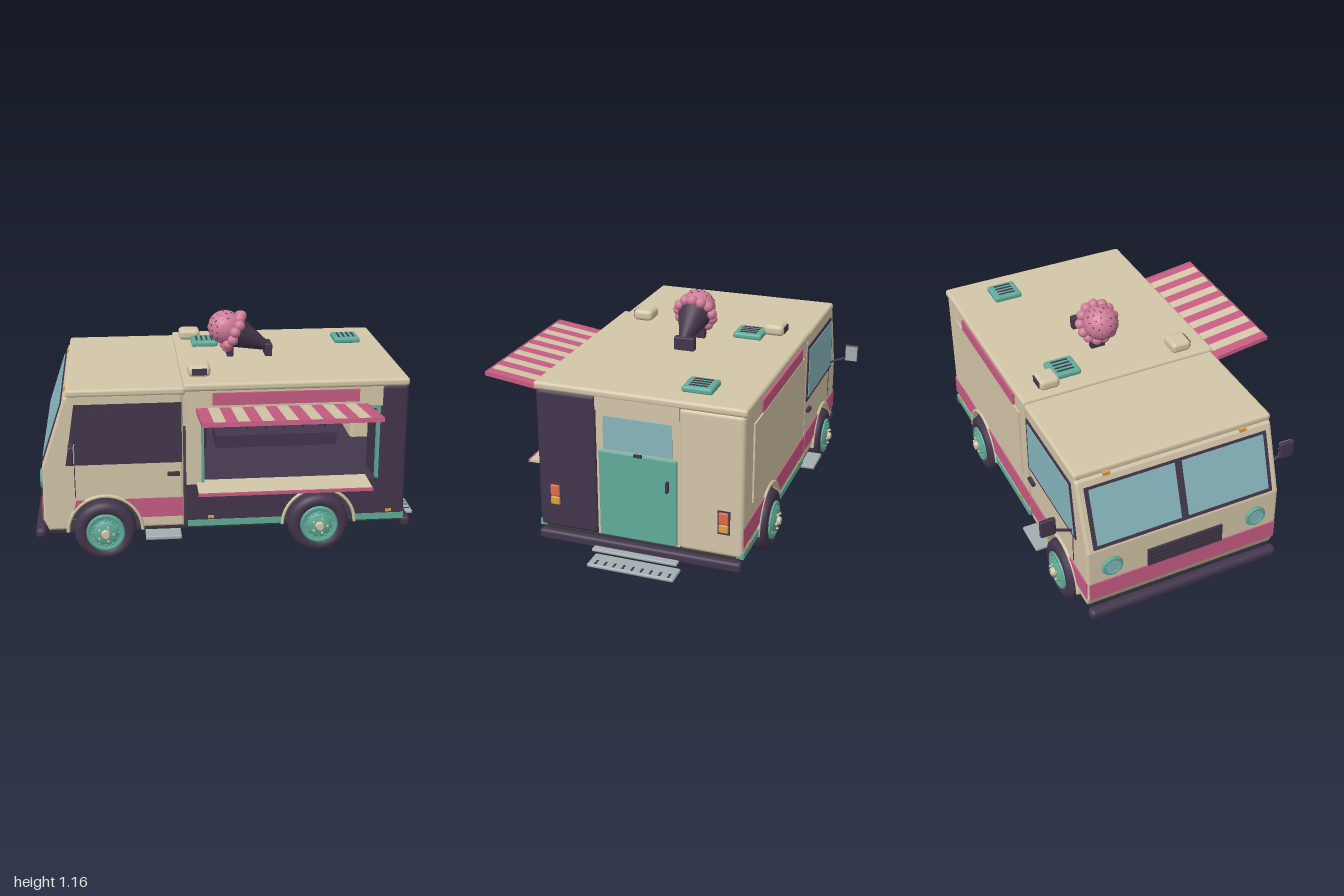
import * as THREE from 'three';
import { RoundedBoxGeometry } from 'three/addons/geometries/RoundedBoxGeometry.js';

const mat = (name, color) => Object.assign(new THREE.MeshStandardMaterial({ color }), { name });

export function createModel() {
  const cream = mat('cream paint', 0xd3c6a8), plum = mat('dark plum', 0x43364c), pink = mat('pink paint', 0xc75c82);
  const teal = mat('teal paint', 0x60ac9a), glass = mat('blue glass', 0x88b6be), grey = mat('grey metal', 0xa3adb0);
  const red = mat('red lamp', 0xdd6c4c), amber = mat('amber lamp', 0xdfa044);
  const scoopPink = mat('ice cream pink', 0xcf7d98), under = mat('underbody', 0x39363c);
  const truck = new THREE.Group();
  truck.name = 'iceCreamTruck';
  const LEFT = 0.40, RIGHT = -0.62, MID = -0.11;
  const FRONT_AXLE = -0.65, REAR_AXLE = 0.43, AXLE_Y = 0.155, ARCH = 0.183;

  function add(name, geo, m, x = 0, y = 0, z = 0, parent = truck) {
    const mesh = new THREE.Mesh(geo, m);
    mesh.name = name;
    mesh.position.set(x, y, z);
    parent.add(mesh);
    return mesh;
  }
  // box from its extents, with optional rounded edges
  function box(name, m, x0, x1, y0, y1, z0, z1, r = 0, parent = truck) {
    const w = x1 - x0, h = y1 - y0, d = z1 - z0;
    const geo = r ? new RoundedBoxGeometry(w, h, d, 2, r) : new THREE.BoxGeometry(w, h, d);
    return add(name, geo, m, (x0 + x1) / 2, (y0 + y1) / 2, (z0 + z1) / 2, parent);
  }
  function extrude(name, m, shape, z0, z1, bevel = 0) {
    const geo = new THREE.ExtrudeGeometry(shape, {
      depth: z1 - z0 - 2 * bevel, curveSegments: 16, bevelEnabled: bevel > 0,
      bevelSize: bevel, bevelThickness: bevel, bevelOffset: -bevel, bevelSegments: 2 });
    return add(name, geo, m, 0, 0, z0 + bevel);
  }
  const polygon = pts => new THREE.Shape(pts.map(p => new THREE.Vector2(...p)));
  // points on a wheel arch between two heights, on the front (-1) or rear (1) half
  const arc = (cx, a0, a1, n = 14) => Array.from({ length: n + 1 }, (_, i) => {
    const a = a0 + (a1 - a0) * i / n;
    return [cx + ARCH * Math.cos(a), AXLE_Y + ARCH * Math.sin(a)];
  });
  // side panel with the wheel arch cut out of it
  function archPanel(name, m, x0, x1, y0, y1, cx, z0, z1) {
    const a0 = Math.asin((y0 - AXLE_Y) / ARCH), s = (y1 - AXLE_Y) / ARCH;
    if (s >= 1) {
      extrude(name, m, polygon([[x0, y0], ...arc(cx, Math.PI - a0, a0), [x1, y0], [x1, y1], [x0, y1]]), z0, z1);
      return;
    }
    const a1 = Math.asin(s);
    extrude(name, m, polygon([[x0, y0], ...arc(cx, Math.PI - a0, Math.PI - a1), [x0, y1]]), z0, z1);
    extrude(name, m, polygon([[x1, y0], [x1, y1], ...arc(cx, a1, a0)]), z0, z1);
  }
  // z range of a plate lying on one outer side
  const onSide = (s, t = 0.006) => s > 0 ? [LEFT, LEFT + t] : [RIGHT - t, RIGHT];

  // Cab
  extrude('cabBody', cream, polygon([[-0.255, 0.165], [-0.255, 0.88], [-0.80, 0.88], [-0.835, 0.85], [-0.95, 0.51],
    [-0.955, 0.22], [-0.93, 0.165], ...arc(FRONT_AXLE, Math.PI - 0.055, 0.055, 20)]), RIGHT, LEFT, 0.012);
  box('cabRoof', cream, -0.825, -0.24, 0.855, 0.895, RIGHT - 0.004, LEFT + 0.004, 0.015);
  const shield = new THREE.Group();
  shield.name = 'windshield';
  shield.position.set(-0.8925, 0.68, MID);
  shield.rotation.z = -Math.atan2(0.115, 0.34);
  truck.add(shield);
  box('windshieldFrame', plum, -0.006, 0.002, -0.165, 0.15, -0.475, 0.475, 0, shield);
  for (const s of [-1, 1]) {
    box('windshieldPane', glass, -0.01, -0.004, -0.145, 0.137, s * 0.237 - 0.218, s * 0.237 + 0.218, 0, shield);
    box('roofMarker', amber, -0.838, -0.815, 0.85, 0.868, MID + s * 0.355 - 0.018, MID + s * 0.355 + 0.018);
    const lamp = add('headlightRing', new THREE.TorusGeometry(0.045, 0.01, 8, 24), teal, -0.958, 0.40, MID + s * 0.385);
    lamp.rotation.y = Math.PI / 2;
    const lens = add('headlightLens', new THREE.CylinderGeometry(0.042, 0.042, 0.012, 24), glass, -0.957, 0.40, MID + s * 0.385);
    lens.rotation.z = Math.PI / 2;
  }
  box('grille', plum, -0.963, -0.945, 0.32, 0.42, MID - 0.2, MID + 0.2);
  for (let i = 0; i < 3; i++) box('grilleBar', under, -0.966, -0.962, 0.341 + i * 0.025, 0.35 + i * 0.025, MID - 0.18, MID + 0.18);
  box('noseStripe', pink, -0.96, -0.95, 0.222, 0.318, RIGHT + 0.008, LEFT - 0.008);

  for (const s of [1, -1]) {
    const [z0, z1] = onSide(s), face = s > 0 ? LEFT : RIGHT;
    // Cab sides
    const pane = i => polygon([[-0.835 + i, 0.51 + i], [-0.262 - i, 0.51 + i], [-0.262 - i, 0.82 - i], [-0.785 + i * 0.8, 0.82 - i]]);
    extrude('sideWindowFrame', plum, pane(0), z0, z1);
    extrude('sideWindowPane', s > 0 ? plum : glass, pane(0.018), ...onSide(s, 0.009));
    archPanel('cabStripe', pink, s > 0 ? -0.79 : -0.945, -0.257, 0.222, 0.322, FRONT_AXLE, z0, z1);
    box('cabDoorSeam', plum, -0.795, -0.791, 0.34, 0.51, ...onSide(s, 0.003));
    box('cabDoorHandle', plum, -0.335, -0.275, 0.442, 0.46, ...onSide(s, 0.018));
    box('cabStep', grey, -0.45, -0.27, 0.113, 0.133, ...(s > 0 ? [0.33, 0.45] : [-0.68, -0.55]), 0.006);
    // Mirrors
    const m0 = face + s * 0.09, m1 = face + s * 0.167;
    box('mirrorHousing', plum, -0.815, -0.79, 0.568, 0.662, Math.min(m0, m1), Math.max(m0, m1), 0.008);
    box('mirrorGlass', grey, -0.791, -0.786, 0.574, 0.656, Math.min(m0, m1) + 0.006, Math.max(m0, m1) - 0.006);
    add('mirrorArm', new THREE.TubeGeometry(new THREE.LineCurve3(new THREE.Vector3(-0.80, 0.54, face - s * 0.01),
      new THREE.Vector3(-0.80, 0.59, face + s * 0.11)), 1, 0.007, 8), plum);
    // Skirt and side markers
    archPanel('skirt', teal, -0.235, 0.868, 0.162, 0.195, REAR_AXLE, ...(s > 0 ? [0.37, 0.406] : [-0.626, -0.59]));
    for (const x of [-0.12, 0.79]) box('sideMarker', amber, x - 0.015, x + 0.015, 0.203, 0.217, ...onSide(s, 0.009));
    // Sign board above the hatch
    box('signBoard', pink, -0.11, 0.62, 0.80, 0.862, ...onSide(s, 0.012));

    // Wheels
    for (const x of [FRONT_AXLE, REAR_AXLE]) {
      const lip = add('wheelArchLip', new THREE.TorusGeometry(ARCH + 0.003, 0.009, 8, 28, Math.PI), cream, x, AXLE_Y, face);
      lip.scale.z = 1.3;
      const wheel = new THREE.Group();
      wheel.name = 'wheel';
      wheel.position.set(x, AXLE_Y, s > 0 ? 0.38 : -0.60);
      wheel.rotation.x = s * Math.PI / 2;
      truck.add(wheel);
      const lathe = pts => new THREE.LatheGeometry(pts.map(p => new THREE.Vector2(...p)), 36);
      add('tyre', lathe([[0, -0.05], [0.125, -0.05], [0.145, -0.042], [0.155, -0.02], [0.155, 0.02], [0.145, 0.042],
        [0.125, 0.05], [0.1, 0.048], [0.092, 0.03], [0, 0.03]]), plum, 0, 0, 0, wheel);
      add('wheelDisc', lathe([[0.096, 0.03], [0.096, 0.053], [0.086, 0.058], [0.076, 0.048], [0.058, 0.05],
        [0.052, 0.066], [0, 0.068]]), teal, 0, 0, 0, wheel);
      add('hubCap', new THREE.CylinderGeometry(0.018, 0.024, 0.02, 20), cream, 0, 0.075, 0, wheel);
      for (let i = 0; i < 5; i++) {
        const a = i * Math.PI * 0.4;
        add('wheelNut', new THREE.CylinderGeometry(0.006, 0.006, 0.012, 6), cream, 0.039 * Math.cos(a), 0.071, 0.039 * Math.sin(a), wheel);
      }
      for (let i = 0; i < 12; i++) {
        const a = i * Math.PI / 6;
        add('rimStud', new THREE.SphereGeometry(0.007, 8, 6), teal, 0.067 * Math.cos(a), 0.051, 0.067 * Math.sin(a), wheel);
      }
    }

    // Roof speakers facing outward
    const sz = MID + s * 0.36;
    box('roofSpeaker', cream, -0.222, -0.108, 0.912, 0.97, sz - 0.053, sz + 0.053, 0.022);
    box('speakerGrille', plum, -0.202, -0.128, 0.925, 0.957, sz + s * 0.052 - 0.004, sz + s * 0.052 + 0.004);
  }

  // Closed side of the rear box
  archPanel('closedWall', cream, -0.24, 0.86, 0.19, 0.88, REAR_AXLE, RIGHT, RIGHT + 0.025);
  archPanel('wallStripe', pink, -0.238, 0.868, 0.222, 0.322, REAR_AXLE, ...onSide(-1));
  box('closedHatch', cream, -0.17, 0.73, 0.39, 0.79, ...onSide(-1, 0.008));

  // Serving side of the rear box
  archPanel('servingLowerWall', plum, -0.24, 0.86, 0.19, 0.385, REAR_AXLE, LEFT - 0.025, LEFT + 0.003);
  box('frontPost', cream, -0.24, -0.165, 0.38, 0.88, LEFT - 0.03, LEFT);
  box('servingHeader', cream, -0.24, 0.74, 0.77, 0.88, LEFT - 0.03, LEFT);
  for (const x of [-0.166, 0.715]) box('hatchFramePost', teal, x, x + 0.014, 0.39, 0.77, LEFT - 0.03, LEFT + 0.006);
  box('hatchFrameTop', teal, -0.165, 0.73, 0.76, 0.774, LEFT - 0.03, LEFT + 0.006);
  box('servingShelf', cream, -0.19, 0.67, 0.385, 0.397, 0.37, 0.555);
  box('shelfTrim', pink, -0.192, 0.672, 0.382, 0.398, 0.552, 0.56);

  // Striped awning, hinged on the header
  const awning = new THREE.Group();
  awning.name = 'awning';
  awning.position.set(0.235, 0.775, LEFT);
  awning.rotation.x = -Math.atan2(0.05, 0.38);
  truck.add(awning);
  box('awningUnderside', plum, -0.42, 0.42, -0.008, 0.002, 0, 0.375, 0, awning);
  for (let i = 0; i < 15; i++) {
    const x = -0.425 + i * 0.85 / 15;
    box('awningStripe', i % 2 ? cream : pink, x, x + 0.85 / 15, 0.001, 0.01, 0, 0.38, 0, awning);
  }
  box('awningFrontEdge', pink, -0.426, 0.426, -0.01, 0.012, 0.376, 0.383, 0, awning);
  for (const x of [-0.426, 0.418]) box('awningSideEdge', pink, x, x + 0.008, -0.01, 0.012, 0, 0.38, 0, awning);

  // Interior
  box('interiorFloor', plum, -0.24, 0.85, 0.345, 0.355, RIGHT + 0.02, LEFT - 0.02);
  box('counter', plum, -0.04, 0.63, 0.355, 0.425, -0.42, -0.2);
  box('softServeMachine', plum, -0.16, -0.09, 0.355, 0.55, -0.38, -0.2, 0.015);
  add('machineHead', new THREE.SphereGeometry(0.032, 14, 10), plum, -0.115, 0.54, -0.19);
  [[0.14, 0], [0.25, 1], [0.35, 2], [0.455, 3], [0.58, 0]].forEach(([x, n]) => {
    add('coneHolder', new THREE.CylinderGeometry(0.012, 0.006, 0.04, 10), plum, x, 0.445, -0.3);
    for (let i = 0; i < n; i++) add('servedScoop', new THREE.SphereGeometry(0.021, 12, 8), [scoopPink, cream, plum][i], x, 0.475 + i * 0.033, -0.3);
  });

  // Rear end
  box('darkRearCorner', plum, 0.73, 0.872, 0.165, 0.878, 0.10, 0.403, 0.02);
  box('creamRearCorner', cream, 0.73, 0.872, 0.165, 0.878, RIGHT - 0.003, -0.31, 0.02);
  box('rearDoorFrame', cream, 0.84, 0.86, 0.165, 0.88, -0.312, 0.102);
  box('rearHeader', cream, 0.855, 0.87, 0.81, 0.88, -0.312, 0.102);
  box('rearDoor', teal, 0.855, 0.872, 0.17, 0.61, -0.30, 0.088, 0.006);
  box('rearDoorWindow', glass, 0.858, 0.866, 0.618, 0.785, -0.275, 0.065);
  box('rearDoorHandle', plum, 0.87, 0.892, 0.452, 0.505, -0.262, -0.25);
  box('rearDoorLatch', plum, 0.868, 0.88, 0.604, 0.617, -0.13, -0.09);
  for (const z of [0.315, -0.53]) {
    box('tailLightBase', plum, 0.868, 0.876, 0.282, 0.402, z - 0.03, z + 0.03);
    box('stopLamp', red, 0.87, 0.886, 0.338, 0.395, z - 0.023, z + 0.023, 0.005);
    box('turnLamp', amber, 0.87, 0.886, 0.293, 0.333, z - 0.023, z + 0.023, 0.005);
  }

  // Chassis, bumpers and rear steps
  box('floorPan', under, -0.93, 0.87, 0.148, 0.165, RIGHT + 0.01, LEFT - 0.01);
  for (const z of [0.18, -0.39]) box('frameRail', plum, -0.875, 0.785, 0.075, 0.132, z - 0.022, z + 0.022);
  box('frontBumper', plum, -1.0, -0.943, 0.115, 0.172, RIGHT - 0.005, LEFT - 0.005, 0.024);
  box('rearBumper', plum, 0.865, 0.91, 0.108, 0.16, RIGHT - 0.005, LEFT - 0.005, 0.015);
  box('rearUpperStep', grey, 0.85, 0.945, 0.108, 0.124, -0.325, 0.105, 0.006);
  box('rearLowerStep', grey, 0.89, 1.0, 0.053, 0.072, -0.328, 0.108, 0.008);
  for (let i = 0; i < 9; i++) box('stepTread', plum, 0.955, 0.99, 0.071, 0.074, -0.305 + i * 0.046, -0.295 + i * 0.046);

  // Roof and vents
  box('boxRoof', cream, -0.252, 0.872, 0.872, 0.912, RIGHT - 0.012, LEFT + 0.012, 0.015);
  for (const x of [-0.092, 0.69]) {
    box('roofVent', teal, x - 0.07, x + 0.07, 0.908, 0.94, -0.43, -0.28, 0.012);
    for (let i = 0; i < 4; i++) box('ventSlot', plum, x - 0.045 + i * 0.027, x - 0.036 + i * 0.027, 0.938, 0.943, -0.4, -0.31);
  }

  // Giant cone lying on the roof
  box('coneRearStand', plum, 0.208, 0.246, 0.91, 0.978, MID - 0.053, MID + 0.053, 0.006);
  box('coneFrontStand', plum, 0.008, 0.042, 0.91, 1.0, MID - 0.04, MID + 0.04, 0.006);
  const cone = new THREE.Group();
  cone.name = 'giantCone';
  cone.position.set(0.225, 0.955, MID + 0.01);
  cone.rotation.z = Math.atan2(0.225, 0.11);
  truck.add(cone);
  add('waferCone', new THREE.CylinderGeometry(0.085, 0.022, 0.19, 28), plum, 0, 0.095, 0, cone);
  add('scoop', new THREE.SphereGeometry(0.089, 32, 20), scoopPink, 0, 0.25, 0, cone);
  for (let i = 0; i < 13; i++) {
    const a = i / 13 * Math.PI * 2;
    add('scoopFrill', new THREE.SphereGeometry(0.028, 14, 10), scoopPink, 0.09 * Math.cos(a), 0.198 + 0.008 * (i % 2), 0.09 * Math.sin(a), cone);
  }
  for (let i = 0; i < 44; i++) {
    const h = 1 - 0.95 * (i + 0.5) / 44, a = i * 2.39996, r = Math.sqrt(1 - h * h);
    const n = new THREE.Vector3(r * Math.cos(a), h, r * Math.sin(a));
    const p = add('sprinkle', new THREE.BoxGeometry(0.012, 0.004, 0.004), i % 4 ? plum : pink, n.x * 0.089, 0.25 + n.y * 0.089, n.z * 0.089, cone);
    p.quaternion.setFromUnitVectors(new THREE.Vector3(0, 1, 0), n);
    p.rotateY(i * 1.7);
  }
  return truck;
}
